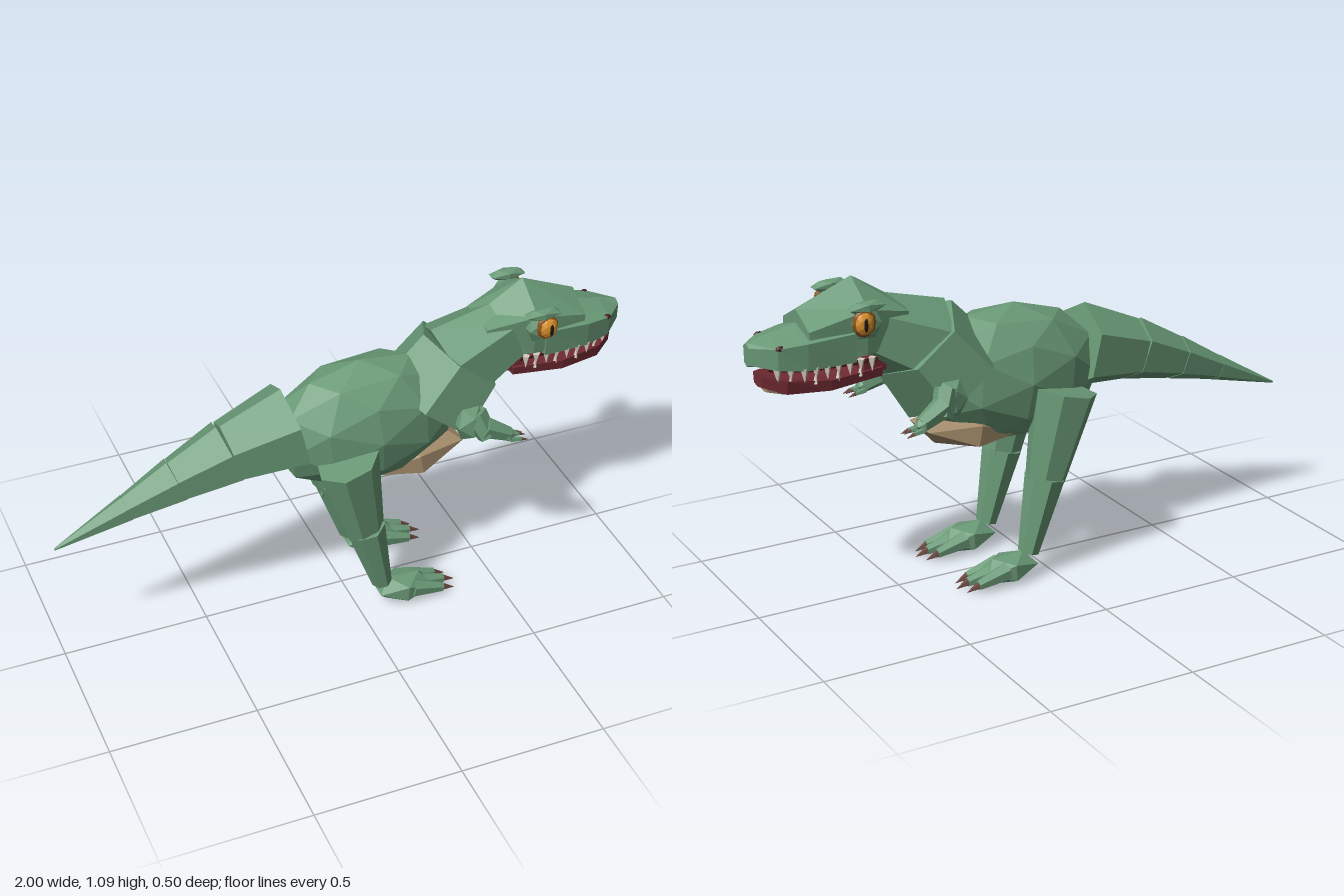
import * as THREE from 'three';

const mat = (name, color) => {
  const m = new THREE.MeshStandardMaterial({ color });
  m.name = name;
  return m;
};

export function createModel() {
  const green = mat('skin green', 0x6a9a77);
  const tan = mat('belly tan', 0xa58d6c);
  const red = mat('mouth red', 0x722b33);
  const bone = mat('tooth ivory', 0xd6cebf);
  const orange = mat('eye orange', 0xd98f2b);
  const rim = mat('eye rim brown', 0x8a541f);
  const black = mat('pupil black', 0x1c1614);
  const clawBrown = mat('claw brown', 0x6e4a42);
  const nostrilRed = mat('nostril dark red', 0x4a1f22);

  const model = new THREE.Group();
  model.name = 'dinosaur';

  // faceted mesh with one normal per face
  const add = (name, geo, material) => {
    const g = geo.index ? geo.toNonIndexed() : geo;
    g.computeVertexNormals();
    const mesh = new THREE.Mesh(g, material);
    mesh.name = name;
    model.add(mesh);
    return mesh;
  };

  // tapered faceted tube from point a to point b
  const limb = (name, a, b, ra, rb, material = green, sides = 6, wide = 1) => {
    const p = new THREE.Vector3(...a), q = new THREE.Vector3(...b);
    const d = q.clone().sub(p);
    const g = new THREE.CylinderGeometry(rb, ra, d.length(), sides, 1, false, Math.PI / 2);
    const m = add(name, g, material);
    m.position.copy(p).add(q).multiplyScalar(0.5);
    m.quaternion.setFromUnitVectors(new THREE.Vector3(0, 1, 0), d.normalize());
    m.scale.z = wide;
    return m;
  };

  // faceted ellipsoid
  const blob = (name, pos, size, material = green, detail = 0, tilt = 0) => {
    const m = add(name, new THREE.IcosahedronGeometry(1, detail), material);
    m.position.set(...pos);
    m.scale.set(...size);
    m.rotation.z = tilt;
    return m;
  };

  // six-sided loft along x; section = [x, top, upper, lower, bottom, upperHalfWidth, lowerHalfWidth]
  const loft = (name, sections, material) => {
    const pos = [], idx = [];
    for (const [x, t, u, l, b, wu, wl] of sections) {
      pos.push(x, t, 0, x, u, wu, x, l, wl, x, b, 0, x, l, -wl, x, u, -wu);
    }
    const last = (sections.length - 1) * 6;
    for (let s = 0; s < last; s += 6) {
      for (let j = 0; j < 6; j++) {
        const k = (j + 1) % 6;
        idx.push(s + j, s + k, s + 6 + k, s + j, s + 6 + k, s + 6 + j);
      }
    }
    for (let j = 1; j < 5; j++) idx.push(0, j + 1, j, last, last + j, last + j + 1);
    const g = new THREE.BufferGeometry();
    g.setAttribute('position', new THREE.Float32BufferAttribute(pos, 3));
    g.setIndex(idx);
    return add(name, g, material);
  };

  // torso, belly, chest and neck
  blob('torso', [0.08, 0.69, 0], [0.34, 0.235, 0.172], green, 1, 0.08);
  blob('belly', [0.245, 0.525, 0], [0.2, 0.067, 0.135], tan, 0, 0.17);
  limb('chest', [0.3, 0.71, 0], [0.42, 0.86, 0], 0.19, 0.168, green, 6, 1.02);
  limb('neck', [0.38, 0.83, 0], [0.6, 0.93, 0], 0.16, 0.115);

  // overlapping tail segments
  const tail = [[-0.18, 0.735, 0.148], [-0.4, 0.685, 0.11], [-0.58, 0.622, 0.078],
    [-0.75, 0.556, 0.046], [-1, 0.457, 0.004]];
  for (let i = 0; i < 4; i++) {
    const [x, y, r] = tail[i], [x2, y2, r2] = tail[i + 1];
    limb('tailSegment', [x, y, 0], [x2, y2, 0], r, r2 * 0.97, green, 6, 1.08);
  }

  // skull and snout
  loft('skull', [
    [0.48, 1.0, 0.98, 0.88, 0.84, 0.08, 0.08],
    [0.64, 1.1, 1.02, 0.87, 0.83, 0.125, 0.11],
    [0.83, 1.02, 0.97, 0.86, 0.85, 0.1, 0.1],
  ], green);
  loft('snout', [
    [0.68, 1.0, 0.95, 0.855, 0.85, 0.122, 0.115],
    [0.84, 0.975, 0.94, 0.85, 0.85, 0.115, 0.105],
    [0.93, 0.955, 0.93, 0.86, 0.85, 0.09, 0.085],
    [0.998, 0.937, 0.925, 0.87, 0.86, 0.022, 0.02],
  ], green);

  // mouth lining and lower jaw
  loft('palate', [
    [0.6, 0.855, 0.855, 0.835, 0.835, 0.1, 0.09],
    [0.84, 0.855, 0.855, 0.84, 0.84, 0.1, 0.085],
    [0.95, 0.86, 0.86, 0.85, 0.85, 0.06, 0.05],
  ], red);
  loft('throat', [
    [0.56, 0.88, 0.87, 0.8, 0.79, 0.08, 0.075],
    [0.64, 0.86, 0.85, 0.79, 0.79, 0.08, 0.08],
  ], red);
  loft('lowerGum', [
    [0.58, 0.81, 0.815, 0.785, 0.78, 0.09, 0.085],
    [0.76, 0.79, 0.805, 0.77, 0.77, 0.1, 0.095],
    [0.9, 0.8, 0.82, 0.775, 0.775, 0.085, 0.075],
    [0.965, 0.825, 0.83, 0.795, 0.79, 0.035, 0.03],
  ], red);
  loft('lowerJaw', [
    [0.59, 0.79, 0.785, 0.775, 0.765, 0.075, 0.06],
    [0.76, 0.775, 0.775, 0.762, 0.752, 0.09, 0.06],
    [0.9, 0.78, 0.778, 0.768, 0.76, 0.07, 0.05],
    [0.945, 0.792, 0.788, 0.775, 0.77, 0.03, 0.025],
  ], tan);

  for (const s of [1, -1]) {
    // upper and lower teeth follow the narrowing jaw
    for (let i = 0; i < 9; i++) {
      const x = 0.62 + i * 0.038;
      const z = s * (x < 0.84 ? 0.098 : 0.098 - (x - 0.84) * 0.42);
      limb('upperTooth', [x, 0.858, z], [x, 0.812 + (i % 2) * 0.009, z], 0.014, 0.001, bone, 4);
      if (i % 2) limb('lowerTooth', [x, 0.8, z * 0.92], [x, 0.834, z * 0.92], 0.01, 0.001, bone, 4);
    }

    // eye, slit pupil, socket, brow and nostril
    blob('eyeSocket', [0.65, 0.98, s * 0.128], [0.055, 0.055, 0.028]);
    blob('eyeRim', [0.665, 0.988, s * 0.143], [0.041, 0.046, 0.02], rim, 1);
    blob('eye', [0.667, 0.988, s * 0.15], [0.033, 0.038, 0.021], orange, 1);
    blob('pupil', [0.67, 0.988, s * 0.169], [0.007, 0.023, 0.004], black, 1);
    blob('brow', [0.652, 1.036, s * 0.134], [0.072, 0.021, 0.028], green, 0, -0.05);
    blob('nostril', [0.922, 0.929, s * 0.084], [0.016, 0.011, 0.01], nostrilRed);

    // arm with three clawed fingers
    blob('shoulder', [0.385, 0.7, s * 0.175], [0.058, 0.07, 0.042]);
    limb('upperArm', [0.4, 0.735, s * 0.175], [0.435, 0.655, s * 0.207], 0.042, 0.034);
    limb('forearm', [0.425, 0.69, s * 0.2], [0.51, 0.648, s * 0.213], 0.04, 0.026);
    blob('hand', [0.505, 0.648, s * 0.213], [0.03, 0.026, 0.029]);
    for (let f = -1; f <= 1; f++) {
      const z = s * (0.213 + f * 0.018), y = 0.642 - Math.abs(f) * 0.006;
      limb('finger', [0.51, y, z], [0.548, y - 0.006, z + s * f * 0.004], 0.011, 0.007, green, 5);
      limb('fingerClaw', [0.545, y - 0.005, z + s * f * 0.004], [0.572, y - 0.014, z + s * f * 0.004],
        0.007, 0.001, clawBrown, 5);
    }

    // leg
    limb('thigh', [-0.043, 0.65, s * 0.157], [0.025, 0.34, s * 0.147], 0.112, 0.069, green, 7, 0.85);
    limb('shin', [0.025, 0.355, s * 0.147], [0.088, 0.095, s * 0.147], 0.067, 0.035, green, 7, 1.1);
    blob('knee', [0.045, 0.34, s * 0.147], [0.045, 0.035, 0.045]);
    limb('heelSpur', [-0.005, 0.34, s * 0.13], [-0.02, 0.295, s * 0.13], 0.02, 0.006, green, 5);

    // foot with three clawed toes
    blob('foot', [0.165, 0.056, s * 0.147], [0.11, 0.053, 0.072], green, 0, -0.06);
    for (let t = -1; t <= 1; t++) {
      const z = s * (0.147 + t * 0.042), x = t ? 0.3 : 0.318;
      limb('toe', [0.19, 0.06, s * (0.147 + t * 0.034)], [x, 0.035, z], 0.034, 0.017, green, 6);
      limb('toeClaw', [x - 0.008, 0.037, z], [x + 0.042, 0.02, z], 0.015, 0.001, clawBrown, 5);
    }
  }
  return model;
}
